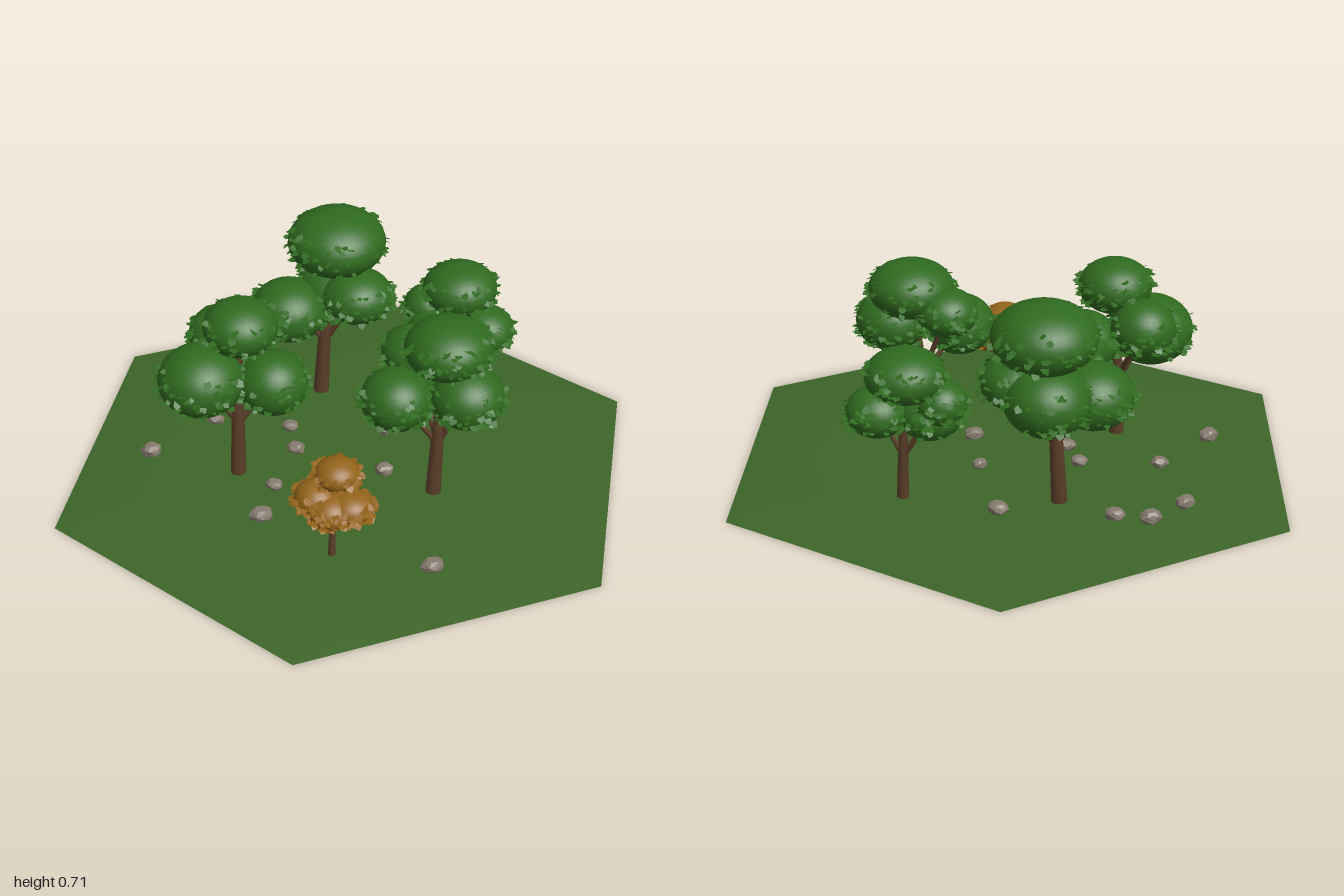
import * as THREE from 'three';
import { mergeGeometries } from 'three/addons/utils/BufferGeometryUtils.js';

let seed = 7;
const rand = () => {
  seed = (seed * 16807) % 2147483647;
  return seed / 2147483647;
};
const spread = (a) => (rand() * 2 - 1) * a;

const mat = (color, extra = {}) => new THREE.MeshStandardMaterial({ color, ...extra });
const materials = {
  grass: mat(0x3d6529, { side: THREE.DoubleSide }),
  bark: mat(0x5a3d28),
  green: mat(0x2f6a1f),
  greenLeaf: mat(0x2f6a1f, { side: THREE.DoubleSide }),
  gold: mat(0x94641a),
  goldLeaf: mat(0x94641a, { side: THREE.DoubleSide }),
  stone: mat(0x857a6e, { flatShading: true }),
};

function addMesh(parent, name, geometry, material) {
  const mesh = new THREE.Mesh(geometry, material);
  mesh.name = name;
  parent.add(mesh);
  return mesh;
}

// Gently domed height, falling to zero at the hexagon's rim (t = 0 centre, 1 rim)
function groundHeight(x, z, t) {
  const rise = THREE.MathUtils.smoothstep(1 - t, -0.08, 0.35);
  const ripple = 0.004 * Math.sin(x * 9 + 1) * Math.cos(z * 8);
  return t > 0.999 ? 0 : rise * (0.025 + ripple);
}

// Hexagonal sheet of grass with corners on the z axis
function makeGround() {
  const geo = new THREE.RingGeometry(0.0001, 1, 48, 20);
  geo.rotateX(-Math.PI / 2);
  const p = geo.attributes.position;
  const sector = Math.PI / 3;
  for (let i = 0; i < p.count; i++) {
    const x = p.getX(i), z = p.getZ(i);
    const t = Math.hypot(x, z);
    const a = Math.atan2(z, x) + sector * 6.5;
    const k = Math.cos(sector / 2) / Math.cos((a % sector) - sector / 2);
    p.setXYZ(i, x * k, groundHeight(x * k, z * k, t), z * k);
  }
  geo.computeVertexNormals();
  return geo;
}

// Tapered limb between two points
function limb(from, to, r0, r1) {
  const a = new THREE.Vector3(...from), b = new THREE.Vector3(...to);
  const dir = b.clone().sub(a);
  const geo = new THREE.CylinderGeometry(r1, r0, dir.length(), 10);
  geo.applyQuaternion(new THREE.Quaternion().setFromUnitVectors(
    new THREE.Vector3(0, 1, 0), dir.normalize()));
  const mid = a.add(b).multiplyScalar(0.5);
  return geo.translate(mid.x, mid.y, mid.z);
}

// Small pointed leaves lying outwards around the sides of one foliage clump
function leavesFor([x, y, z, r, ry], count, size) {
  const leaves = [];
  for (let i = 0; i < count; i++) {
    const angle = rand() * Math.PI * 2;
    const lift = -0.6 + rand() * 1.15;
    const ring = Math.sqrt(1 - lift * lift);
    const s = size * (0.7 + rand() * 0.6);
    const leaf = new THREE.CircleGeometry(s / 2, 5);
    leaf.scale(1.15, 0.8, 1);
    leaf.rotateX(-Math.PI / 2 + spread(0.5));
    leaf.rotateZ(-0.25 + spread(0.4));
    leaf.rotateY(-angle + spread(0.6));
    leaf.translate(x + Math.cos(angle) * ring * r * 1.02, y + lift * ry * 1.02,
      z + Math.sin(angle) * ring * r * 1.02);
    leaves.push(leaf);
  }
  return leaves;
}

// clumps: [x, y, z, horizontal radius, vertical radius]
function makeTree({ name, base, radius, clumps, color = 'green', leafCount = 130, leafSize = 0.028 }) {
  const tree = new THREE.Group();
  tree.name = name;
  const [bx, bz] = base;
  const [tx, ty, tz] = clumps[0];
  const fork = [bx + (tx - bx) * 0.3, ty * 0.5, bz + (tz - bz) * 0.3];

  // Trunk with a branch reaching into each clump
  const wood = [
    limb([bx, 0.01, bz], fork, radius, radius * 0.75),
    ...clumps.map(([x, y, z], i) => limb(
      [fork[0], i ? fork[1] * 0.75 : fork[1], fork[2]], [x, y, z],
      radius * (i ? 0.4 : 0.75), radius * 0.25)),
  ];
  addMesh(tree, 'trunk', mergeGeometries(wood), materials.bark);

  // Rounded foliage clumps
  for (const [x, y, z, r, ry] of clumps) {
    const clump = addMesh(tree, 'foliageClump', new THREE.SphereGeometry(1, 28, 18), materials[color]);
    clump.scale.set(r, ry, r);
    clump.position.set(x, y, z);
  }
  const leaves = clumps.flatMap((c) => leavesFor(c, leafCount, leafSize));
  addMesh(tree, 'leaves', mergeGeometries(leaves), materials[color + 'Leaf']);
  return tree;
}

// Angular boulder: a roughened icosahedron
function makeRock(x, z, r) {
  const geo = new THREE.IcosahedronGeometry(1, 1);
  const p = geo.attributes.position;
  const phase = rand() * 6;
  for (let i = 0; i < p.count; i++) {
    const a = p.getX(i), b = p.getY(i), c = p.getZ(i);
    const k = 0.95 + 0.15 * Math.sin(a * 4 + phase) * Math.cos(c * 3 + b * 4 - phase);
    p.setXYZ(i, a * k, THREE.MathUtils.clamp(b * k, -0.8, 0.75), c * k);
  }
  geo.computeVertexNormals();
  geo.scale(r, r * 0.72, r * 0.8);
  geo.rotateY(spread(0.7));
  return geo.translate(x, 0.04, z);
}

export function createModel() {
  seed = 7;
  const model = new THREE.Group();
  model.name = 'woodlandTile';
  addMesh(model, 'ground', makeGround(), materials.grass);

  const trees = [
    { name: 'frontRightTree', base: [-0.345, 0.14], radius: 0.026, clumps: [
      [-0.33, 0.565, 0.1, 0.12, 0.09], [-0.45, 0.39, 0.16, 0.14, 0.115],
      [-0.23, 0.365, 0.1, 0.115, 0.105], [-0.42, 0.46, -0.01, 0.105, 0.095]] },
    { name: 'backRightTree', base: [-0.16, -0.37], radius: 0.027, clumps: [
      [-0.11, 0.6, -0.42, 0.165, 0.11], [-0.03, 0.43, -0.36, 0.12, 0.09],
      [-0.26, 0.37, -0.33, 0.13, 0.105], [-0.12, 0.4, -0.44, 0.135, 0.11]] },
    { name: 'frontLeftTree', base: [0.3, 0.14], radius: 0.026, clumps: [
      [0.33, 0.55, 0.09, 0.14, 0.095], [0.4, 0.415, 0.15, 0.12, 0.1],
      [0.18, 0.395, 0.17, 0.115, 0.1], [0.21, 0.49, 0.03, 0.1, 0.08]] },
    { name: 'backLeftTree', base: [0.33, -0.36], radius: 0.02, leafCount: 110, clumps: [
      [0.31, 0.465, -0.41, 0.125, 0.085], [0.4, 0.33, -0.38, 0.1, 0.08],
      [0.24, 0.32, -0.36, 0.105, 0.085], [0.2, 0.38, -0.42, 0.08, 0.07]] },
    { name: 'goldenSapling', base: [0.03, 0.51], radius: 0.012, color: 'gold', leafCount: 90,
      leafSize: 0.03, clumps: [
        [0.04, 0.3, 0.46, 0.07, 0.05], [-0.02, 0.225, 0.49, 0.07, 0.055],
        [0.09, 0.21, 0.5, 0.07, 0.05], [0.03, 0.2, 0.52, 0.07, 0.055]] },
  ];
  for (const tree of trees) model.add(makeTree(tree));

  // Scattered stones: [x, z, radius]
  const stones = [
    [-0.44, -0.49, 0.037], [-0.33, -0.48, 0.034], [-0.55, -0.39, 0.034], [-0.48, -0.12, 0.031],
    [-0.22, -0.12, 0.03], [0.1, -0.15, 0.027], [-0.65, 0.09, 0.037], [-0.18, 0, 0.032],
    [-0.22, 0.37, 0.04], [0.35, 0.53, 0.038], [-0.21, 0.21, 0.03], [0.13, 0.07, 0.034],
    [0.03, -0.45, 0.036],
  ];
  for (const [x, z, r] of stones) addMesh(model, 'rock', makeRock(x, z, r), materials.stone);
  return model;
}
